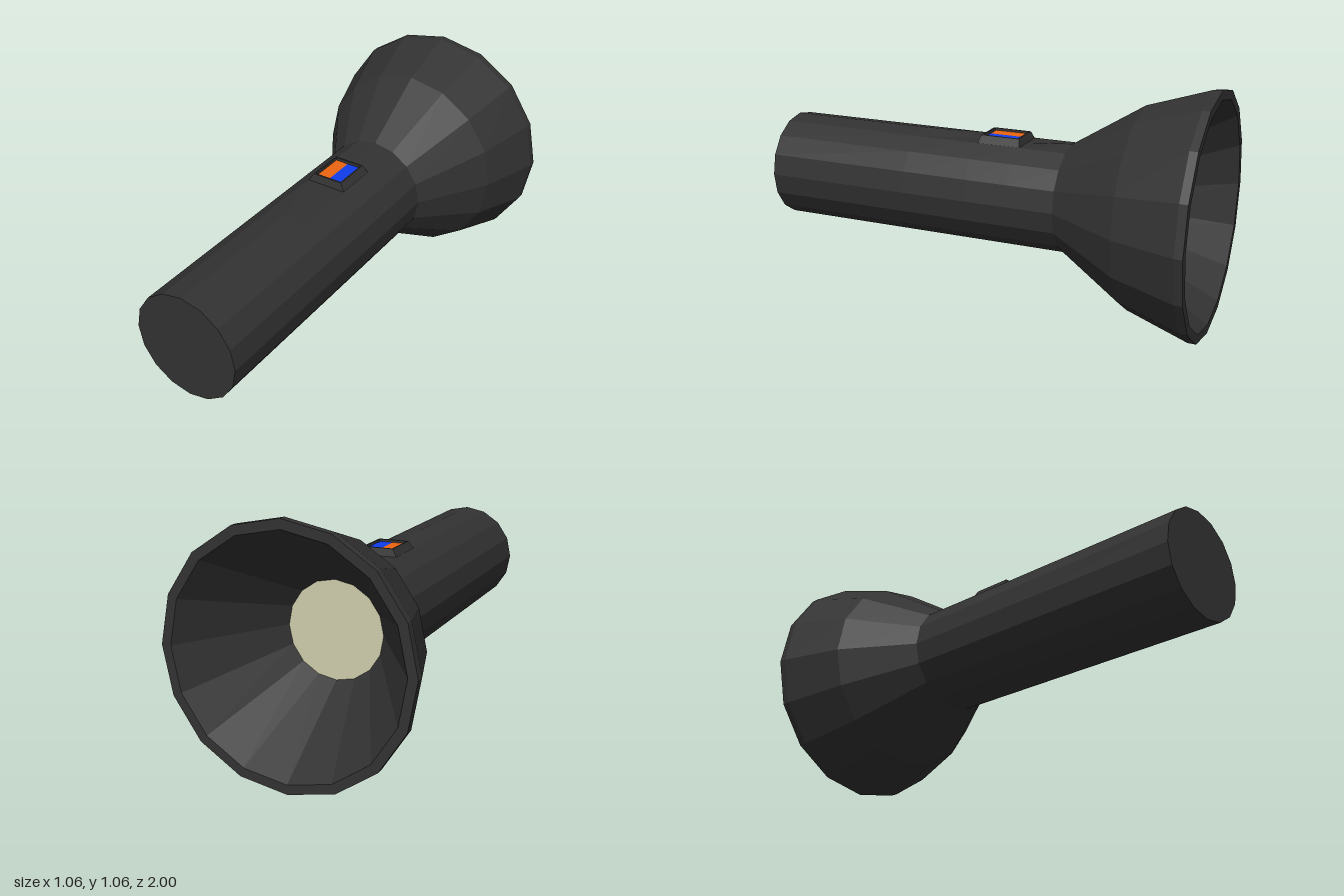
import * as THREE from 'three';

const SIDES = 16, AXIS_Y = 0.53, SWITCH_Z = -0.067;

function material(color) {
  return new THREE.MeshStandardMaterial({ color, flatShading: true });
}

function addMesh(parent, name, geometry, mat) {
  const mesh = new THREE.Mesh(geometry, mat);
  mesh.name = name;
  parent.add(mesh);
  return mesh;
}

// Turned part along z, from [radius, z] pairs
function turned(profile) {
  const points = profile.map(([r, z]) => new THREE.Vector2(r, z));
  return new THREE.LatheGeometry(points, SIDES).rotateX(Math.PI / 2);
}

// Rectangular rings [halfX, halfZ, y] joined by quads
function rectangularLoft(rings) {
  const positions = [], index = [];
  for (const [hx, hz, y] of rings) {
    positions.push(-hx, y, hz, hx, y, hz, hx, y, -hz, -hx, y, -hz);
  }
  for (let r = 0; r < rings.length - 1; r++) {
    for (let i = 0; i < 4; i++) {
      const a = r * 4 + i, b = r * 4 + (i + 1) % 4;
      index.push(a, b, b + 4, a, b + 4, a + 4);
    }
  }
  const geometry = new THREE.BufferGeometry();
  geometry.setAttribute('position', new THREE.Float32BufferAttribute(positions, 3));
  geometry.setIndex(index);
  geometry.computeVertexNormals();
  return geometry;
}

export function createModel() {
  const model = new THREE.Group();
  model.name = 'flashlight';
  const black = material(0x323232);

  // Flared head: reflector cone, rim and outer shell
  const head = turned([
    [0.21, -0.57], [0.49, -1], [0.53, -1], [0.53, -0.965], [0.44, -0.69], [0.24, -0.375],
  ]);
  addMesh(model, 'head', head, black).position.y = AXIS_Y;

  // Handle with closed end; its top ridge is flattened around the switch
  const handle = turned([
    [0.24, -0.375], [0.24, -0.16], [0.24, 0.03], [0.24, 0.33], [0.24, 1], [0, 1],
  ]);
  const pos = handle.attributes.position;
  for (let i = 0; i < pos.count; i++) {
    const z = pos.getZ(i);
    if (pos.getY(i) > 0.235 && z > -0.2 && z < 0.1) {
      pos.setY(i, 0.24 * Math.cos(2 * Math.PI / SIDES));
    }
  }
  handle.computeVertexNormals();
  addMesh(model, 'handle', handle, black).position.y = AXIS_Y;

  // Lens at the bottom of the reflector
  const lens = new THREE.CircleGeometry(0.21, SIDES).rotateY(Math.PI);
  addMesh(model, 'lens', lens, material(0xcfcdac)).position.set(0, AXIS_Y, -0.57);

  // Switch: sloped bezel, recessed floor and two-coloured button
  const powerSwitch = new THREE.Group();
  powerSwitch.name = 'switch';
  powerSwitch.position.z = SWITCH_Z;
  model.add(powerSwitch);

  const bezel = rectangularLoft([
    [0.093, 0.099, 0.748], [0.07, 0.088, 0.785], [0.064, 0.08, 0.785], [0.062, 0.078, 0.76],
  ]);
  addMesh(powerSwitch, 'switchBezel', bezel, black);
  const floor = new THREE.PlaneGeometry(0.124, 0.156).rotateX(-Math.PI / 2);
  addMesh(powerSwitch, 'switchFloor', floor, black).position.y = 0.76;

  for (const [name, side, color] of [['buttonRight', -1, 0xec6410], ['buttonLeft', 1, 0x103cec]]) {
    const button = new THREE.BoxGeometry(0.06, 0.015, 0.15);
    addMesh(powerSwitch, name, button, material(color)).position.set(side * 0.03, 0.768, 0);
  }

  return model;
}
